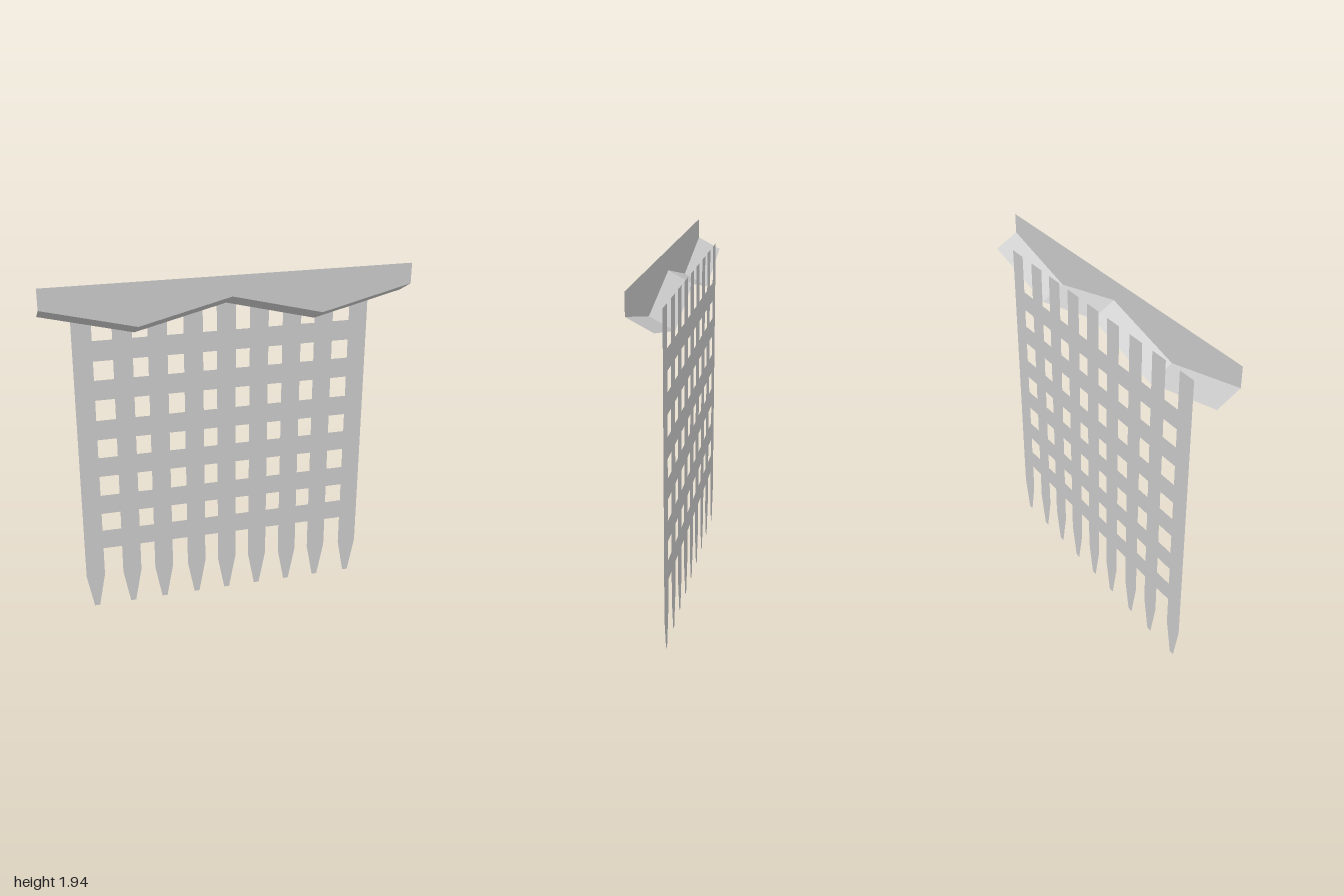
import * as THREE from 'three';

const material = new THREE.MeshStandardMaterial({
  color: 0xcccccc, flatShading: true, side: THREE.DoubleSide,
});

const Z = 0.065; // front board at +Z, grille at -Z
const HALF = 0.053; // half width of an upright
const UPRIGHTS = [-0.778, -0.565, -0.377, -0.182, 0.001, 0.186, 0.372, 0.556, 0.756];
const RAILS = [0.37, 0.59, 0.82, 1.04, 1.27, 1.49]; // lower edge of each rail
const RAIL_HEIGHT = 0.113;
const ZIGZAG = [[-1, 1.823], [-0.5, 1.7], [0, 1.823], [0.5, 1.7], [1, 1.823]];

const shapeFrom = (points) => new THREE.Shape(points.map(([x, y]) => new THREE.Vector2(x, y)));

function addMesh(group, name, geometry, z = 0) {
  const mesh = new THREE.Mesh(geometry, material);
  mesh.name = name;
  mesh.position.z = z;
  group.add(mesh);
}

// Flat lattice: spiked uprights joined by rails, open between the upright tops
function grilleGeometry() {
  const last = UPRIGHTS.length - 1;
  const railBottom = RAILS[0];
  const railTop = RAILS[RAILS.length - 1] + RAIL_HEIGHT;
  const bottom = [], top = [];
  UPRIGHTS.forEach((x, i) => {
    const l = x - HALF, r = x + HALF;
    if (i > 0) {
      bottom.push([l, railBottom]);
      top.push([l, railTop]);
    }
    bottom.push([l, 0.2], [x - 0.015, 0], [x + 0.015, 0], [r, 0.2]);
    top.push([l, 1.82], [r, 1.82]);
    if (i < last) {
      bottom.push([r, railBottom]);
      top.push([r, railTop]);
    }
  });
  const shape = shapeFrom([...bottom, ...top.reverse()]);

  // Windows between neighbouring uprights and rails
  for (let i = 0; i < last; i++) {
    const l = UPRIGHTS[i] + HALF, r = UPRIGHTS[i + 1] - HALF;
    for (let j = 0; j < RAILS.length - 1; j++) {
      const b = RAILS[j] + RAIL_HEIGHT, t = RAILS[j + 1];
      shape.holes.push(shapeFrom([[l, b], [l, t], [r, t], [r, b]]));
    }
  }
  return new THREE.ShapeGeometry(shape);
}

// Sloping strip from the board's zigzag edge back and down to the grille
function skirtGeometry() {
  const positions = [], index = [];
  ZIGZAG.forEach(([x, y], i) => {
    positions.push(x, y, Z, x, y - 0.068, -Z);
    const a = i * 2;
    if (i < ZIGZAG.length - 1) index.push(a, a + 2, a + 1, a + 1, a + 2, a + 3);
  });
  const geometry = new THREE.BufferGeometry();
  geometry.setAttribute('position', new THREE.Float32BufferAttribute(positions, 3));
  geometry.setIndex(index);
  const flat = geometry.toNonIndexed();
  flat.computeVertexNormals();
  return flat;
}

export function createModel() {
  const group = new THREE.Group();
  group.name = 'portcullis';
  addMesh(group, 'grille', grilleGeometry(), -Z);
  addMesh(group, 'headBoard', new THREE.ShapeGeometry(shapeFrom([...ZIGZAG, [1, 1.936], [-1, 1.936]])), Z);
  addMesh(group, 'boardUnderside', skirtGeometry());
  return group;
}
